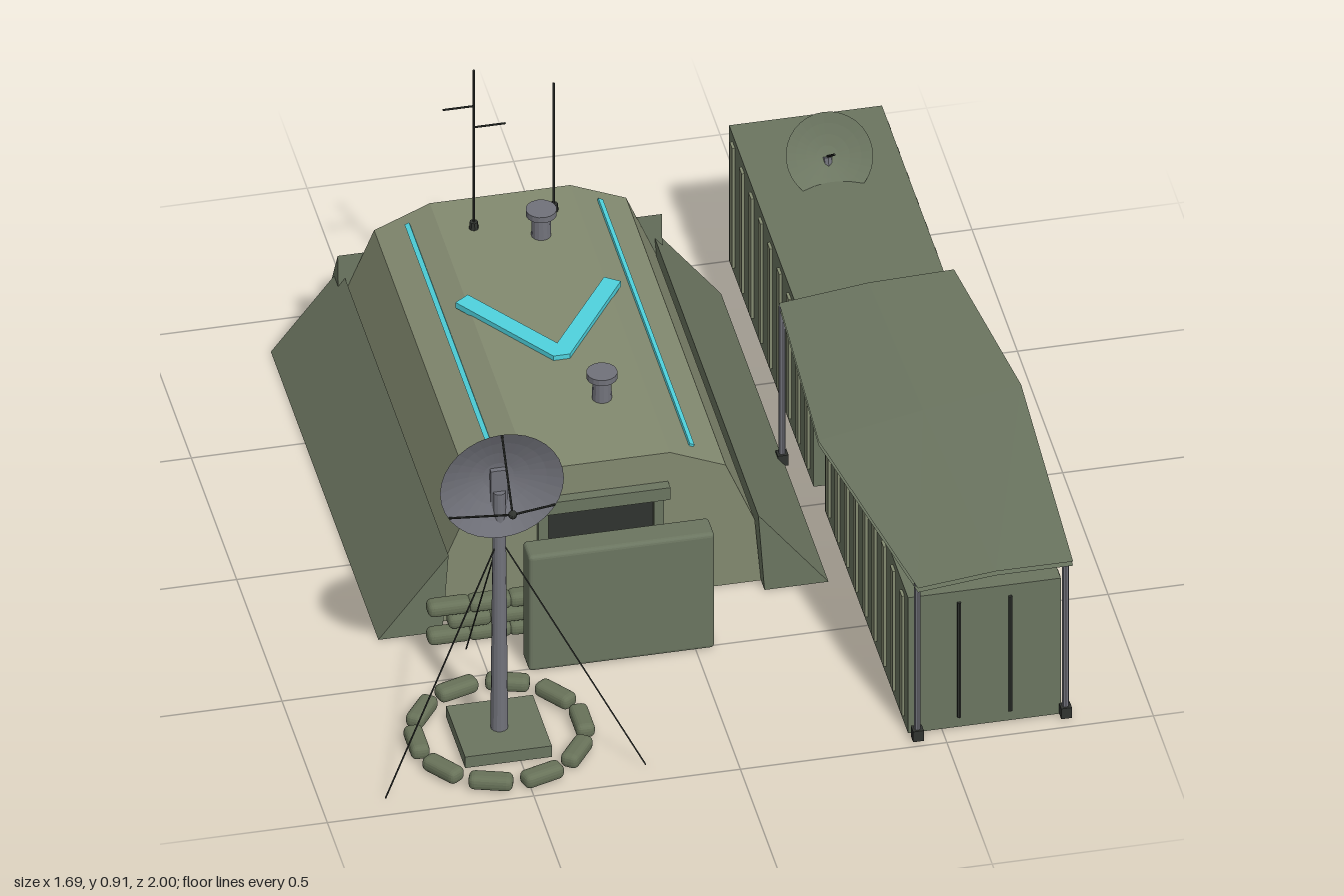
import * as THREE from 'three';
import { RoundedBoxGeometry } from 'three/addons/geometries/RoundedBoxGeometry.js';

const mat = (color, opts = {}) => new THREE.MeshStandardMaterial({ color, flatShading: true, ...opts });
const green = mat(0x6b7560);
const greenOpen = mat(0x6b7560, { side: THREE.DoubleSide });
const pale = mat(0x838a70);
const bagMat = mat(0x687259);
const steel = mat(0x71727a);
const steelOpen = mat(0x71727a, { side: THREE.DoubleSide });
const dark = mat(0x30332f);
const cyan = mat(0x4fd3de);

function add(parent, name, geo, material, x = 0, y = 0, z = 0) {
  const m = new THREE.Mesh(geo, material);
  m.name = name;
  m.position.set(x, y, z);
  parent.add(m);
  return m;
}

function group(parent, name, x = 0, y = 0, z = 0) {
  const g = new THREE.Group();
  g.name = name;
  g.position.set(x, y, z);
  parent.add(g);
  return g;
}

// box given by its extents
function box(parent, name, material, x0, x1, y0, y1, z0, z1) {
  return add(parent, name, new THREE.BoxGeometry(x1 - x0, y1 - y0, z1 - z0), material,
    (x0 + x1) / 2, (y0 + y1) / 2, (z0 + z1) / 2);
}

// thin round bar between two points
function rod(parent, name, material, a, b, r, sides = 6) {
  const p = new THREE.Vector3(...a), q = new THREE.Vector3(...b);
  const m = add(parent, name, new THREE.CylinderGeometry(r, r, p.distanceTo(q), sides), material);
  m.position.copy(p).add(q).multiplyScalar(0.5);
  m.quaternion.setFromUnitVectors(new THREE.Vector3(0, 1, 0), q.sub(p).normalize());
  return m;
}

// prism along z from an xy outline
function prism(points, depth) {
  const shape = new THREE.Shape(points.map(([x, y]) => new THREE.Vector2(x, y)));
  return new THREE.ExtrudeGeometry(shape, { depth, bevelEnabled: false });
}

function sandbag(parent, x, y, z, turn = 0) {
  const m = add(parent, 'sandbag', new RoundedBoxGeometry(0.106, 0.038, 0.046, 2, 0.015), bagMat, x, y, z);
  m.rotation.y = turn;
}

// shallow bowl opening along +z, with a separate inner face
function dish(parent, r, depth, inner) {
  const profile = (d) => [0, 0.25, 0.5, 0.75, 1].map((t) => new THREE.Vector2(Math.max(r * t, 0.0001), d * (t ** 1.6 - 1)));
  const back = add(parent, 'dishBack', new THREE.LatheGeometry(profile(depth), 32), greenOpen);
  const face = add(parent, 'dishFace', new THREE.LatheGeometry(profile(depth * 0.85), 32), inner);
  back.rotation.x = face.rotation.x = Math.PI / 2;
}

function buildBunker(root) {
  const g = group(root, 'bunker', -0.18);
  const half = [[0.39, 0], [0.375, 0.18], [0.305, 0.35], [0.17, 0.408]];
  const outline = [...half, ...half.map(([x, y]) => [-x, y]).reverse()];
  add(g, 'shell', prism(outline, 1.1), pale, 0, 0, -0.83);

  // earth berms on both sides and at the back
  for (const s of [1, -1]) {
    const pts = [[s * 0.39, 0], [s * 0.545, 0], [s * 0.375, 0.22]];
    add(g, 'sideBerm', prism(pts, 1.185), green, 0, 0, -0.875);
  }
  const back = add(g, 'backBerm', prism([[0.82, 0], [1, 0], [0.835, 0.285]], 0.785), green, -0.392, 0, 0);
  back.rotation.y = Math.PI / 2;
  back.position.x = -0.392;

  // doorway, hood and free-standing blast wall
  box(g, 'door', dark, -0.13, 0.13, 0, 0.29, 0.25, 0.275);
  for (const s of [1, -1]) box(g, 'doorJamb', green, s * 0.14 - 0.012, s * 0.14 + 0.012, 0, 0.29, 0.25, 0.285);
  box(g, 'doorHood', green, -0.165, 0.165, 0.29, 0.325, 0.25, 0.297);
  add(g, 'blastWall', new RoundedBoxGeometry(0.45, 0.335, 0.072, 2, 0.01), green, 0.0, 0.1675, 0.478);

  // roof markings
  for (const s of [1, -1]) {
    const strip = add(g, 'roofStripe', new THREE.BoxGeometry(0.012, 0.008, 1.01), cyan, s * 0.233, 0.383, -0.285);
    strip.rotation.z = -s * 0.4;
  }
  const chevron = [[-0.2, 0.41], [-0.165, 0.435], [0, 0.2], [0.165, 0.435], [0.2, 0.41], [0.02, 0.15], [-0.02, 0.15]];
  const v = add(g, 'roofChevron', prism(chevron, 0.016), cyan, 0, 0.405, 0);
  v.rotation.x = -Math.PI / 2;

  // vents and aerials
  for (const z of [-0.65, 0.02]) {
    const vent = group(g, 'roofVent', 0.06, 0.4, z);
    add(vent, 'ventPipe', new THREE.CylinderGeometry(0.022, 0.024, 0.07, 14), steel, 0, 0.035, 0);
    add(vent, 'ventCap', new THREE.CylinderGeometry(0.037, 0.037, 0.016, 16), steel, 0, 0.076, 0);
  }
  const whips = [[-0.09, -0.71, 0.87], [0.11, -0.74, 0.78]];
  for (const [x, z, top] of whips) {
    add(g, 'aerialBase', new THREE.CylinderGeometry(0.01, 0.012, 0.025, 8), dark, x, 0.415, z);
    rod(g, 'aerial', dark, [x, 0.4, z], [x, top, z], 0.003);
  }
  rod(g, 'aerialArm', dark, [-0.165, 0.765, -0.71], [-0.09, 0.765, -0.71], 0.0025);
  rod(g, 'aerialArm', dark, [-0.09, 0.703, -0.71], [-0.013, 0.703, -0.71], 0.0025);
}

function buildContainer(root, x, z0, z1) {
  const g = group(root, 'container', x, 0, 0);
  const w = 0.185, n = 9, step = (z1 - z0) / n;
  box(g, 'containerBody', green, -w, w, 0, 0.396, z0, z1);
  for (const s of [1, -1])
    for (let i = 0; i < n; i++)
      add(g, 'sideRib', new THREE.BoxGeometry(0.014, 0.35, 0.028), pale, s * w, 0.2, z0 + (i + 0.5) * step);
  for (const s of [1, -1]) rod(g, 'doorBar', dark, [s * 0.062, 0.03, z1 + 0.003], [s * 0.062, 0.365, z1 + 0.003], 0.005);
}

function buildCanopy(root) {
  const g = group(root, 'canopy');
  // sagging cloth: three rows of three points, back to front
  const rows = [
    [[0.355, 0.455, -0.19], [0.575, 0.47, -0.205], [0.785, 0.465, -0.22]],
    [[0.325, 0.462, 0.38], [0.59, 0.475, 0.33], [0.84, 0.468, 0.27]],
    [[0.43, 0.455, 1.0], [0.62, 0.468, 0.99], [0.81, 0.46, 0.98]],
  ];
  const sheet = (dy) => {
    const geo = new THREE.PlaneGeometry(1, 1, 2, 2);
    rows.flat().forEach(([x, y, z], i) => geo.attributes.position.setXYZ(i, x, y + dy, z));
    geo.computeVertexNormals();
    return geo;
  };
  add(g, 'canopyTop', sheet(0.006), greenOpen);
  add(g, 'canopyUnderside', sheet(-0.006), greenOpen);
  for (const [x, z] of [[0.36, -0.18], [0.785, -0.2], [0.435, 0.97], [0.797, 0.955]]) {
    rod(g, 'canopyPost', steel, [x, 0, z], [x, 0.46, z], 0.008, 8);
    box(g, 'postFoot', dark, x - 0.013, x + 0.013, 0, 0.03, z - 0.013, z + 0.013);
  }
}

function buildRoofDish(root) {
  const g = group(root, 'roofDish', 0.6, 0.455, -0.75);
  g.rotation.x = -0.66;
  dish(g, 0.105, 0.035, greenOpen);
  rod(g, 'feedArm', dark, [0, 0, -0.03], [0, 0, 0.07], 0.003);
  rod(g, 'dishMount', steel, [0, 0, -0.03], [0, -0.05, -0.05], 0.012, 8);
}

function buildMast(root) {
  const g = group(root, 'dishMast', -0.53, 0, 0.755);
  box(g, 'mastBase', green, -0.105, 0.105, 0, 0.032, -0.108, 0.102);
  add(g, 'mast', new THREE.CylinderGeometry(0.015, 0.021, 0.69, 14), steel, 0, 0.375, 0);
  box(g, 'dishBracket', steel, -0.02, 0.02, 0.68, 0.78, -0.035, 0.0);

  const head = group(g, 'dishHead', 0, 0.757, 0.03);
  dish(head, 0.15, 0.055, steelOpen);
  for (let i = 0; i < 3; i++) {
    const a = Math.PI / 2 + i * Math.PI * 2 / 3;
    rod(head, 'feedStrut', dark, [0.148 * Math.cos(a), 0.148 * Math.sin(a), 0], [0, 0, 0.118], 0.0028);
  }
  add(head, 'feed', new THREE.SphereGeometry(0.011, 10, 8), dark, 0, 0, 0.118);

  for (const [x, z] of [[-0.315, 0.18], [0.315, 0.18], [0, -0.365]])
    rod(g, 'guyWire', dark, [0, 0.585, 0], [x, 0, z], 0.002, 4);

  // ring of sandbags around the base
  for (let i = 0; i < 10; i++) {
    const a = i * Math.PI / 5;
    sandbag(g, 0.2 * Math.cos(a), 0.019, -0.2 * Math.sin(a), a + Math.PI / 2);
  }
}

function buildSandbagWall(root) {
  const g = group(root, 'sandbagWall');
  for (let row = 0; row < 3; row++) {
    const count = row === 1 ? 4 : 5;
    for (let i = 0; i < count; i++)
      sandbag(g, -0.367 + (i - (count - 1) / 2) * 0.098, 0.02 + row * 0.041, 0.348);
  }
}

export function createModel() {
  const root = new THREE.Group();
  root.name = 'fieldCommandPost';
  buildBunker(root);
  buildContainer(root, 0.597, -1, -0.07);
  buildContainer(root, 0.603, 0.03, 0.945);
  buildCanopy(root);
  buildRoofDish(root);
  buildMast(root);
  buildSandbagWall(root);
  return root;
}
